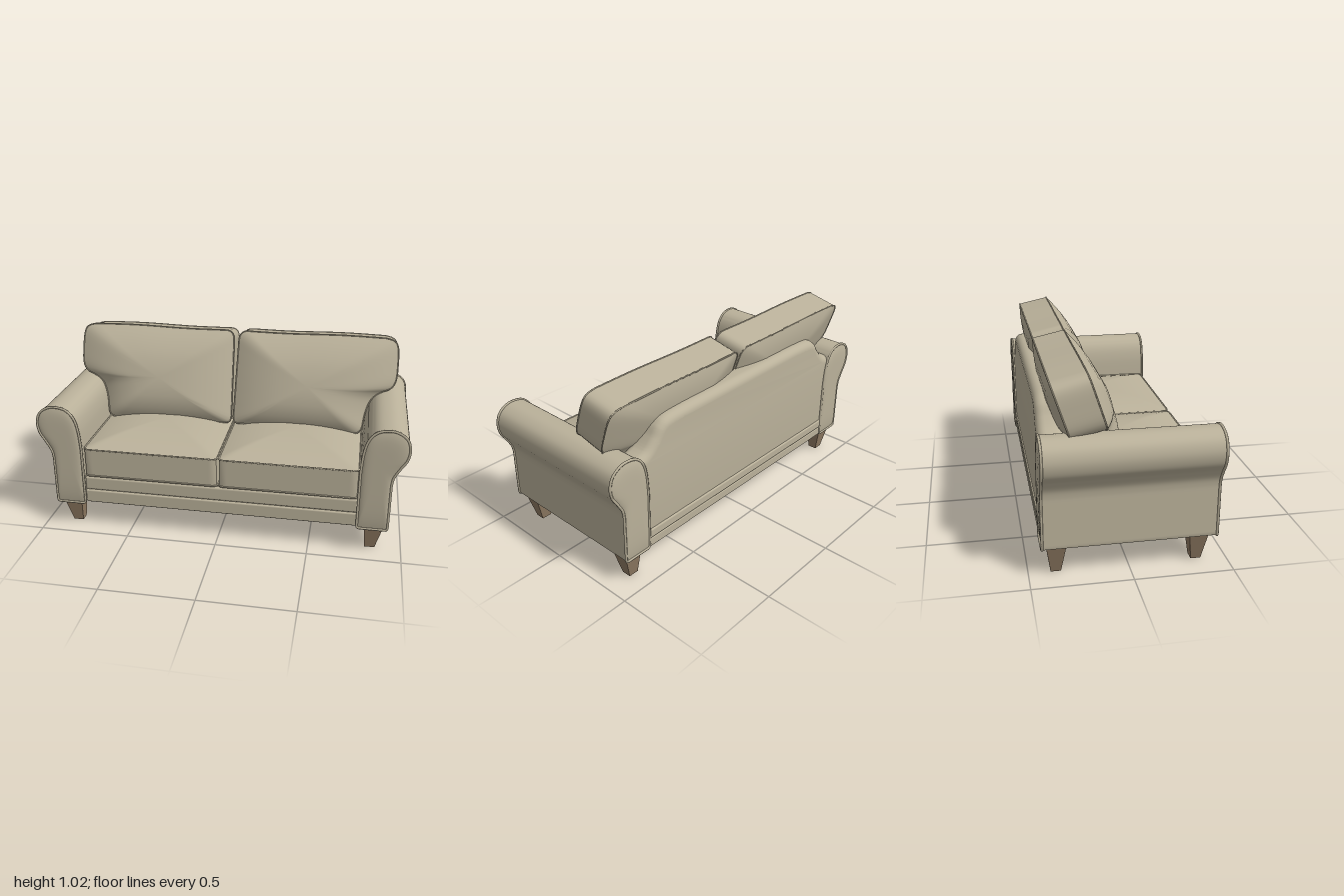
import * as THREE from 'three';
import { toCreasedNormals } from 'three/addons/utils/BufferGeometryUtils.js';
import { RoundedBoxGeometry } from 'three/addons/geometries/RoundedBoxGeometry.js';

const fabric = new THREE.MeshStandardMaterial({ color: 0xbab19a });
const wood = new THREE.MeshStandardMaterial({ color: 0x8f7a62 });
const V2 = (list) => list.map(([x, y]) => new THREE.Vector2(x, y));

// Upholstered solid: an outline (anticlockwise in xy) with side walls from z0 to z1
// and domed faces whose height falls from the centre to the seam.
function padded(pts, [cx, cy], z0, z1, bulge0, bulge1, power, deform = (p) => p) {
  const steps = [0, 0.2, 0.4, 0.55, 0.7, 0.8, 0.88, 0.95, 1];
  const rings = [
    ...steps.map((s) => [s, z1 + bulge1 * (1 - s ** power)]),
    ...[...steps].reverse().map((s) => [s, z0 - bulge0 * (1 - s ** power)]),
  ];
  const n = pts.length, pos = [], idx = [];
  for (const [s, z] of rings) {
    for (const p of pts) {
      const v = deform(new THREE.Vector3(cx + (p.x - cx) * s, cy + (p.y - cy) * s, z));
      pos.push(v.x, v.y, v.z);
    }
  }
  for (let i = 0; i < rings.length - 1; i++) {
    for (let j = 0; j < n; j++) {
      const k = (j + 1) % n;
      const a = i * n + j, b = a + n, c = (i + 1) * n + k, d = i * n + k;
      if (i < rings.length - 2) idx.push(a, b, c);
      if (i > 0) idx.push(a, c, d);
    }
  }
  const g = new THREE.BufferGeometry();
  g.setAttribute('position', new THREE.Float32BufferAttribute(pos, 3));
  g.setIndex(idx);
  return toCreasedNormals(g, 0.7);
}

// Cord sewn along an outline, after the same deformation as the padding
function piping(pts, z, radius, deform = (p) => p) {
  const path = pts.map((p) => deform(new THREE.Vector3(p.x, p.y, z)));
  return new THREE.TubeGeometry(new THREE.CatmullRomCurve3(path, true), 160, radius, 6, true);
}

function outline(shape, count) {
  return shape.getSpacedPoints(count).slice(0, -1);
}

function roundedRect(x0, y0, x1, y1, r) {
  const s = new THREE.Shape();
  s.moveTo(x0 + r, y0);
  s.lineTo(x1 - r, y0).quadraticCurveTo(x1, y0, x1, y0 + r);
  s.lineTo(x1, y1 - r).quadraticCurveTo(x1, y1, x1 - r, y1);
  s.lineTo(x0 + r, y1).quadraticCurveTo(x0, y1, x0, y1 - r);
  s.lineTo(x0, y0 + r).quadraticCurveTo(x0, y0, x0 + r, y0);
  return s;
}

export function createModel() {
  const sofa = new THREE.Group();
  sofa.name = 'sofa';
  const add = (name, geometry, material = fabric, parent = sofa) => {
    const mesh = new THREE.Mesh(geometry, material);
    mesh.name = name;
    parent.add(mesh);
    return mesh;
  };
  const box = (name, x0, x1, y0, y1, z0, z1, r) =>
    add(name, new RoundedBoxGeometry(x1 - x0, y1 - y0, z1 - z0, 3, r))
      .position.set((x0 + x1) / 2, (y0 + y1) / 2, (z0 + z1) / 2);

  // Base and rails
  box('base', -0.76, 0.76, 0.15, 0.31, -0.42, 0.405, 0.005);
  box('lowerFrontRail', -0.755, 0.755, 0.15, 0.226, 0.36, 0.418, 0.008);
  box('upperFrontRail', -0.755, 0.755, 0.228, 0.308, 0.36, 0.415, 0.012);
  box('lowerBackRail', -0.755, 0.755, 0.15, 0.2, -0.435, -0.38, 0.006);
  box('upperBackRail', -0.755, 0.755, 0.202, 0.255, -0.438, -0.38, 0.01);

  // Rolled arms; the profile is symmetric front to back, so a half turn gives the other
  const armShape = new THREE.Shape();
  armShape.moveTo(0.77, 0.15);
  armShape.lineTo(0.905, 0.15).quadraticCurveTo(0.917, 0.15, 0.917, 0.165);
  armShape.lineTo(0.917, 0.42);
  armShape.splineThru(V2([[0.925, 0.465], [0.955, 0.52], [0.985, 0.57], [0.994, 0.63], [0.975, 0.685],
    [0.93, 0.717], [0.88, 0.724], [0.825, 0.71], [0.785, 0.665], [0.764, 0.59], [0.755, 0.48]]));
  armShape.lineTo(0.755, 0.165).quadraticCurveTo(0.755, 0.15, 0.77, 0.15);
  const armPts = outline(armShape, 130);
  for (const side of [1, -1]) {
    const arm = new THREE.Group();
    arm.name = side > 0 ? 'leftArm' : 'rightArm';
    add('armBody', padded(armPts, [0.85, 0.53], -0.432, 0.432, 0.012, 0.012, 6), fabric, arm);
    for (const z of [-0.434, 0.434]) add('armPiping', piping(armPts, z, 0.007), fabric, arm);
    if (side < 0) arm.rotation.y = Math.PI;
    sofa.add(arm);
  }

  // Back frame with shoulders that sweep down to the arms
  const half = [[0.8, 0.675], [0.74, 0.70], [0.69, 0.75], [0.65, 0.805], [0.59, 0.835], [0.45, 0.843]];
  const backShape = new THREE.Shape();
  backShape.moveTo(-0.8, 0.2);
  backShape.lineTo(0.8, 0.2);
  backShape.lineTo(0.8, 0.675);
  backShape.splineThru(V2(half.slice(1)));
  backShape.lineTo(-0.45, 0.843);
  backShape.splineThru(V2(half.slice(0, -1).reverse().map(([x, y]) => [-x, y])));
  backShape.closePath();
  const backGeo = new THREE.ExtrudeGeometry(backShape, {
    depth: 0.05, bevelThickness: 0.045, bevelSize: 0.045, bevelOffset: -0.045, bevelSegments: 6, curveSegments: 8,
  });
  backGeo.translate(0, 0, -0.385);
  add('backFrame', toCreasedNormals(backGeo, 0.7));

  // Seat cushions: outline drawn in plan, then laid flat
  const lay = (p) => new THREE.Vector3(p.x, p.z, -p.y);
  for (const side of [1, -1]) {
    const x0 = side > 0 ? 0.004 : -0.75, x1 = side > 0 ? 0.75 : -0.004;
    const pts = outline(roundedRect(x0, -0.418, x1, 0.25, 0.025), 120);
    const cushion = new THREE.Group();
    cushion.name = side > 0 ? 'leftSeatCushion' : 'rightSeatCushion';
    add('seatPad', padded(pts, [(x0 + x1) / 2, -0.03], 0.316, 0.478, 0, 0.055, 2.2, lay), fabric, cushion);
    for (const y of [0.318, 0.478]) add('seatPiping', piping(pts, y, 0.005, lay), fabric, cushion);
    sofa.add(cushion);
  }

  // Back cushions: wide above the arms, narrow between them, leaning backwards
  const backPad = new THREE.Shape();
  backPad.moveTo(0.03, 0.5);
  backPad.lineTo(0.7, 0.49).quadraticCurveTo(0.745, 0.49, 0.75, 0.53);
  backPad.splineThru(V2([[0.762, 0.61], [0.79, 0.68], [0.84, 0.72], [0.895, 0.745], [0.92, 0.79],
    [0.924, 0.87], [0.92, 0.955], [0.9, 0.995], [0.85, 1.01]]));
  backPad.splineThru(V2([[0.6, 1.014], [0.3, 1.008], [0.06, 1.01]]));
  backPad.quadraticCurveTo(0.016, 1.008, 0.014, 0.96);
  backPad.lineTo(0.006, 0.54).quadraticCurveTo(0.005, 0.5, 0.03, 0.5);
  const padPts = outline(backPad, 130);
  const lean = (p) => new THREE.Vector3(
    p.x, p.y + 0.22 * Math.min(p.z, 0), p.z - 0.11 - 0.33 * (p.y - 0.73));
  for (const side of [1, -1]) {
    const pts = side > 0 ? padPts : padPts.map((p) => new THREE.Vector2(-p.x, p.y)).reverse();
    const cushion = new THREE.Group();
    cushion.name = side > 0 ? 'leftBackCushion' : 'rightBackCushion';
    add('backPad', padded(pts, [side * 0.43, 0.755], -0.175, 0, 0.05, 0.092, 2.4, lean), fabric, cushion);
    for (const z of [-0.175, 0]) add('backPiping', piping(pts, z, 0.004, lean), fabric, cushion);
    sofa.add(cushion);
  }

  // Tapered square legs
  for (const sx of [1, -1]) {
    for (const [z, label] of [[0.346, 'front'], [-0.364, 'back']]) {
      const g = new THREE.BoxGeometry(0.105, 0.15, 0.096);
      const p = g.attributes.position;
      for (let i = 0; i < p.count; i++) {
        if (p.getY(i) < 0) p.setXYZ(i, p.getX(i) * 0.53 - sx * 0.016, p.getY(i), p.getZ(i) * 0.53);
      }
      g.computeVertexNormals();
      add(label + (sx > 0 ? 'LeftLeg' : 'RightLeg'), g, wood).position.set(sx * 0.848, 0.075, z);
    }
  }
  return sofa;
}
